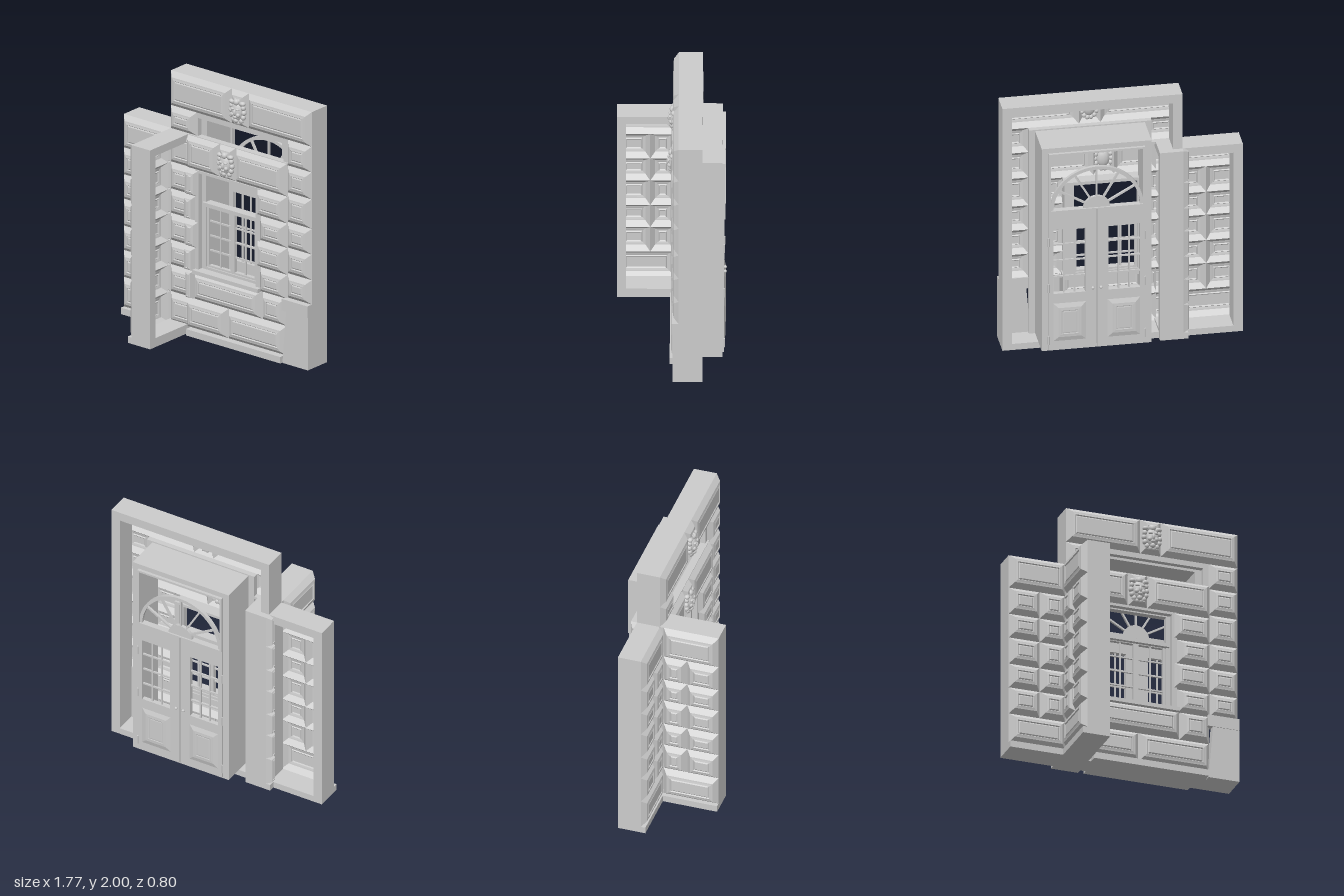
import * as THREE from 'three';
import { mergeGeometries } from 'three/addons/utils/BufferGeometryUtils.js';

const flat = new THREE.MeshStandardMaterial({ color: 0xcccccc, flatShading: true, side: THREE.DoubleSide });
const smooth = new THREE.MeshStandardMaterial({ color: 0xcccccc });

function add(parent, name, geometry, material = flat) {
  const mesh = new THREE.Mesh(geometry, material);
  mesh.name = name;
  parent.add(mesh);
  return mesh;
}

// Box from its limits
function box(parent, name, x0, x1, y0, y1, z0, z1) {
  const g = new THREE.BoxGeometry(x1 - x0, y1 - y0, z1 - z0);
  g.translate((x0 + x1) / 2, (y0 + y1) / 2, (z0 + z1) / 2);
  return add(parent, name, g);
}

const rectPath = (Type, x0, x1, y0, y1) => new Type([[x0, y0], [x1, y0], [x1, y1], [x0, y1]].map(p => new THREE.Vector2(...p)));

// Plate with rectangular holes [x0, x1, y0, y1]
function plate(parent, name, [x0, x1, y0, y1], holes, z0, z1) {
  const shape = rectPath(THREE.Shape, x0, x1, y0, y1);
  holes.forEach(h => shape.holes.push(rectPath(THREE.Path, ...h)));
  const g = new THREE.ExtrudeGeometry(shape, { depth: z1 - z0, bevelEnabled: false });
  g.translate(0, 0, z0);
  return add(parent, name, g);
}

// Rusticated block: nested rectangles at [inset, height]
const PROFILE = [[0, 0], [0.012, 0.3], [0.035, 0.88], [0.045, 0.92], [0.058, 1], [0.064, 0.82], [0.072, 0.95]];
function stoneGeometry([x0, x1, y0, y1], z, depth) {
  const k = Math.min(1, Math.min(x1 - x0, y1 - y0) / 0.18);
  const pos = [], idx = [];
  PROFILE.forEach(([inset, h], r) => {
    const i = inset * k, zz = z + h * depth;
    pos.push(x0 + i, y0 + i, zz, x1 - i, y0 + i, zz, x1 - i, y1 - i, zz, x0 + i, y1 - i, zz);
    if (r) for (let c = 0; c < 4; c++) {
      const a = r * 4 - 4 + c, b = r * 4 - 4 + (c + 1) % 4;
      idx.push(a, b, b + 4, a, b + 4, a + 4);
    }
  });
  const n = PROFILE.length * 4 - 4;
  idx.push(n, n + 1, n + 2, n, n + 2, n + 3);
  const g = new THREE.BufferGeometry();
  g.setAttribute('position', new THREE.Float32BufferAttribute(pos, 3));
  g.setIndex(idx);
  g.computeVertexNormals();
  return g;
}
const stones = (parent, name, list, z, depth) =>
  add(parent, name, mergeGeometries(list.map(s => stoneGeometry(s, z, depth))));

// Course joints shared by all walls
const JOINTS = [0.05, 0.28, 0.49, 0.68, 0.89, 1.08, 1.29, 1.55, 1.73, 2];
// Two-block courses between a wide bottom and a wide top block
function pairedWall(x0, x1, mid) {
  const list = [];
  for (let i = 0; i < 7; i++) {
    const [a, b] = [JOINTS[i], JOINTS[i + 1]];
    if (i === 0 || i === 6) list.push([x0, x1, a, b]);
    else list.push([x0, mid, a, b], [mid, x1, a, b]);
  }
  return list;
}

// Carved mask on a keystone
function mask(parent, x, y, z) {
  const g = new THREE.Group();
  g.name = 'keystoneMask';
  g.position.set(x, y, z);
  const blob = (bx, by, bz, sx, sy, sz) => {
    const s = new THREE.SphereGeometry(1, 12, 8);
    s.scale(sx, sy, sz);
    s.translate(bx, by, bz);
    return s;
  };
  const parts = [blob(0, 0, 0, 0.05, 0.075, 0.035), blob(0, 0, 0.032, 0.012, 0.025, 0.014),
    blob(0, -0.035, 0.025, 0.02, 0.012, 0.014), blob(0, -0.065, 0.012, 0.022, 0.02, 0.02), blob(0, 0.075, 0.01, 0.025, 0.025, 0.022)];
  for (const s of [-1, 1]) parts.push(blob(s * 0.022, 0.026, 0.028, 0.018, 0.009, 0.012),
    blob(s * 0.025, -0.018, 0.022, 0.017, 0.018, 0.016), blob(s * 0.05, 0.07, 0, 0.025, 0.018, 0.022));
  for (let i = 0; i < 14; i++) {
    const a = i / 14 * Math.PI * 2;
    parts.push(blob(0.06 * Math.cos(a), 0.085 * Math.sin(a), -0.004, 0.019, 0.021, 0.02));
  }
  add(g, 'maskCarving', mergeGeometries(parts), smooth);
  parent.add(g);
}

// Glazing bars inside a rectangular opening
function bars(parent, name, [x0, x1, y0, y1], cols, rows, z, t) {
  for (let i = 1; i < cols; i++) {
    const x = x0 + (x1 - x0) * i / cols;
    box(parent, name, x - t, x + t, y0, y1, z - t, z + t);
  }
  for (let i = 1; i < rows; i++) {
    const y = y0 + (y1 - y0) * i / rows;
    box(parent, name, x0, x1, y - t, y + t, z - t, z + t);
  }
}

function tallWall() {
  const g = new THREE.Group();
  g.name = 'tallWall';
  plate(g, 'tallWallFrame', [-0.445, 0.885, 0, 2], [[-0.375, 0.815, 0.05, 1.93]], -0.225, -0.05);
  const list = [[-0.445, 0.13, 1.73, 2], [0.13, 0.29, 1.73, 2], [0.29, 0.885, 1.73, 2]];
  for (let i = 0; i < 8; i++) list.push([-0.445, -0.2, JOINTS[i], JOINTS[i + 1]]);
  const right = [0.5, 0.69, 0.89, 1.09, 1.32, 1.53, 1.73];
  for (let i = 0; i < 6; i++) list.push([0.66, 0.885, right[i], right[i + 1]]);
  stones(g, 'tallWallStones', list, -0.05, 0.042);
  mask(g, 0.21, 1.85, -0.015);
  // Battered plinth at the corner
  box(g, 'plinthMoulding', 0.64, 0.885, 0.41, 0.5, -0.06, 0);
  const s = new THREE.Shape([[0.645, 0], [0.885, 0], [0.885, 0.41], [0.68, 0.41]].map(p => new THREE.Vector2(...p)));
  const p = new THREE.ExtrudeGeometry(s, { depth: 0.055, bevelEnabled: false });
  p.translate(0, 0, -0.06);
  add(g, 'plinthSlab', p);
  return g;
}

function lowWall() {
  const g = new THREE.Group();
  g.name = 'lowWall';
  plate(g, 'lowWallFrame', [-0.89, -0.445, 0, 1.55], [[-0.82, -0.46, 0.05, 1.48]], -0.225, -0.05);
  stones(g, 'lowWallStones', pairedWall(-0.89, -0.45, -0.65), -0.05, 0.042);
  box(g, 'lowWallBase', -0.89, -0.45, 0, 0.05, -0.05, -0.015);
  return g;
}

// Wall standing at right angles, its stones facing -x
function crossWall() {
  const g = new THREE.Group();
  g.name = 'crossWall';
  plate(g, 'crossWallFrame', [-0.27, 0.4, 0, 1.55], [[-0.2, 0.335, 0.07, 1.49]], -0.175, 0);
  stones(g, 'crossWallStones', pairedWall(-0.02, 0.4, 0.16), 0, 0.045);
  stones(g, 'crossWallEndStones', JOINTS.slice(0, 7).map((y, i) => [-0.27, -0.19, y, JOINTS[i + 1]]), 0, 0.045);
  box(g, 'crossWallBase', -0.27, 0.4, 0, 0.05, 0, 0.035);
  g.position.x = -0.445;
  g.rotation.y = -Math.PI / 2;
  return g;
}

function windowWall() {
  const g = new THREE.Group();
  g.name = 'windowWall';
  const list = [[-0.28, 0.03, 1.29, 1.55], [0.03, 0.18, 1.29, 1.55], [0.18, 0.665, 1.29, 1.55],
    [-0.28, 0.11, 0.05, 0.28], [0.11, 0.66, 0.05, 0.28],
    [-0.28, -0.21, 0.28, 0.5], [-0.21, 0.43, 0.28, 0.5], [0.43, 0.66, 0.28, 0.5]];
  for (let i = 2; i < 6; i++) {
    list.push([-0.3, i % 2 ? -0.17 : -0.2, JOINTS[i], JOINTS[i + 1]]);
    list.push([i % 2 ? 0.38 : 0.41, 0.665, JOINTS[i], JOINTS[i + 1]]);
  }
  stones(g, 'windowWallStones', list, -0.04, 0.046);
  box(g, 'windowWallBase', -0.25, 0.64, 0, 0.05, -0.06, 0.015);
  box(g, 'windowWallTop', -0.28, 0.665, 1.53, 1.55, -0.09, -0.035);
  mask(g, 0.105, 1.41, -0.005);
  // Window with reveal, transom and two sashes
  plate(g, 'windowReveal', [-0.2, 0.41, 0.5, 1.29], [[-0.17, 0.37, 0.52, 1.27]], -0.13, -0.03);
  plate(g, 'windowFrame', [-0.17, 0.37, 0.52, 1.27], [[-0.13, 0.34, 0.54, 1.02], [-0.13, 0.34, 1.04, 1.26]], -0.12, -0.07);
  box(g, 'windowTransom', -0.15, 0.36, 1.015, 1.045, -0.12, -0.05);
  box(g, 'windowSill', -0.2, 0.42, 0.49, 0.52, -0.13, 0.005);
  for (const pane of [[-0.13, 0.11, 0.54, 1.02], [0.11, 0.34, 0.54, 1.02]]) {
    const [a, b, c, d] = pane, hole = [a + 0.02, b - 0.02, c + 0.015, d - 0.01];
    plate(g, 'windowSash', pane, [hole], -0.11, -0.08);
    bars(g, 'windowBar', hole, 2, 4, -0.095, 0.006);
  }
  return g;
}

function door() {
  const g = new THREE.Group();
  g.name = 'door';
  const cx = 0.215;
  // Deep casing behind the opening
  plate(g, 'doorCasing', [-0.19, 0.62, 0.05, 1.72], [[-0.14, 0.57, 0.07, 1.67]], -0.37, -0.09);
  plate(g, 'doorArchitrave', [-0.24, 0.665, 0.05, 1.73], [[-0.19, 0.62, 0.07, 1.69]], -0.09, -0.05);
  plate(g, 'fanlightSurround', [-0.14, 0.57, 1.2, 1.68], [[-0.125, 0.555, 1.21, 1.665]], -0.392, -0.36);
  for (const s of [-1, 1]) {
    const span = (a, b) => s > 0 ? [cx + a, cx + b] : [cx - b, cx - a];
    const glass = [...span(0.085, 0.32), 0.52, 1.05];
    plate(g, 'doorLeaf', [...span(0.003, 0.355), 0.06, 1.21], [glass], -0.38, -0.345);
    bars(g, 'doorBar', glass, 3, 4, -0.362, 0.006);
    const panel = stones(g, 'doorPanel', [[...span(0.08, 0.32), 0.13, 0.44]], 0, 0.012);
    panel.position.z = -0.345;
    const back = panel.clone();
    back.scale.z = -1;
    back.position.z = -0.38;
    g.add(back);
    for (const y of [0.14, 0.57, 0.95]) {
      const hinge = add(g, 'doorHinge', new THREE.CylinderGeometry(0.008, 0.008, 0.07, 8), smooth);
      hinge.position.set(cx + s * 0.355, y, -0.38);
    }
    const knob = add(g, 'doorKnob', new THREE.SphereGeometry(0.012, 10, 8), smooth);
    knob.position.set(cx + s * 0.03, 0.55, -0.388);
  }
  // Half-round fanlight
  const half = (r, hole) => {
    const sh = new THREE.Shape();
    sh.absarc(0, 0, r, 0, Math.PI, false);
    if (hole) sh.absarc(0, 0, hole, Math.PI, 0, true);
    const geo = new THREE.ExtrudeGeometry(sh, { depth: 0.025, bevelEnabled: false, curveSegments: 24 });
    geo.translate(cx, 1.2, -0.38);
    return geo;
  };
  add(g, 'fanlightArch', half(0.345, 0.32));
  add(g, 'fanlightHub', half(0.1));
  for (let i = 1; i < 6; i++) {
    const a = i / 6 * Math.PI;
    const spoke = add(g, 'fanlightSpoke', new THREE.BoxGeometry(0.24, 0.014, 0.018));
    spoke.position.set(cx + 0.21 * Math.cos(a), 1.2 + 0.21 * Math.sin(a), -0.368);
    spoke.rotation.z = a;
  }
  return g;
}

export function createModel() {
  const model = new THREE.Group();
  model.name = 'rusticatedFacade';
  model.add(tallWall(), lowWall(), crossWall(), windowWall(), door());
  return model;
}
